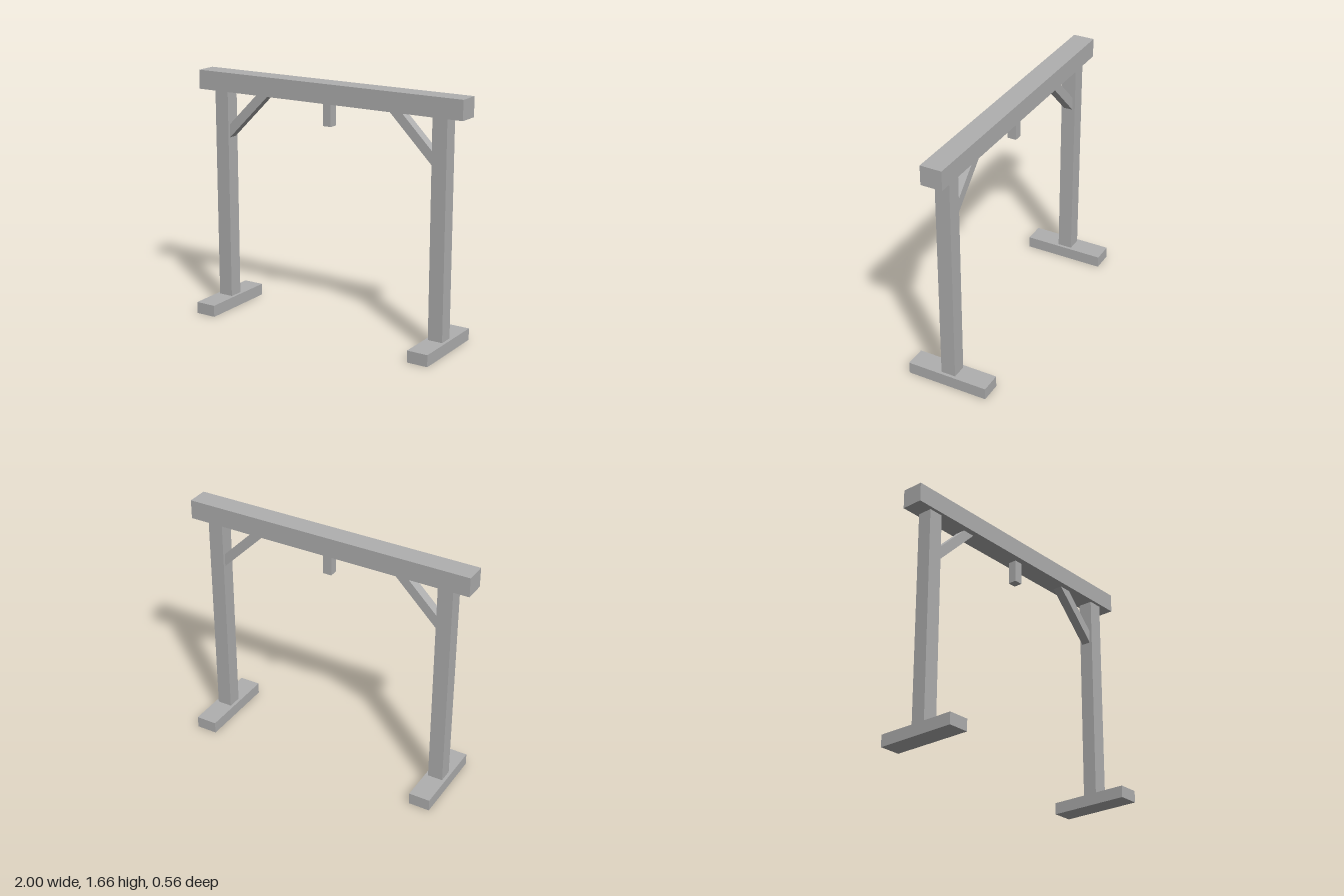
import * as THREE from 'three';

export function createModel() {
  const group = new THREE.Group();
  const grey = new THREE.MeshStandardMaterial({ color: 0xb0b0b0 });
  grey.name = 'grey timber';

  function add(name, geometry, x, y, z) {
    const mesh = new THREE.Mesh(geometry, grey);
    mesh.name = name;
    mesh.position.set(x, y, z);
    group.add(mesh);
  }

  // Box standing on height y0 and reaching y1
  function beam(name, width, y0, y1, depth, x = 0) {
    add(name, new THREE.BoxGeometry(width, y1 - y0, depth), x, (y0 + y1) / 2, 0);
  }

  // Top beam and the short block hanging from its middle
  beam('crossBeam', 2, 1.53, 1.66, 0.145);
  beam('hangingBlock', 0.06, 1.375, 1.53, 0.06);

  const braceDepth = 0.065;
  for (const [side, s] of [['left', 1], ['right', -1]]) {
    // Foot and upright post
    beam(side + 'Foot', 0.145, 0, 0.08, 0.56, s * 0.832);
    beam(side + 'Post', 0.103, 0.08, 1.53, 0.1, s * 0.832);

    // Diagonal brace, mitred against the post and the beam
    const outline = [[0.782, 1.21], [0.782, 1.3], [0.55, 1.53], [0.46, 1.53]];
    const shape = new THREE.Shape(outline.map(([x, y]) => new THREE.Vector2(s * x, y)));
    const brace = new THREE.ExtrudeGeometry(shape, { depth: braceDepth, bevelEnabled: false });
    add(side + 'Brace', brace, 0, 0, -braceDepth / 2);
  }
  return group;
}
